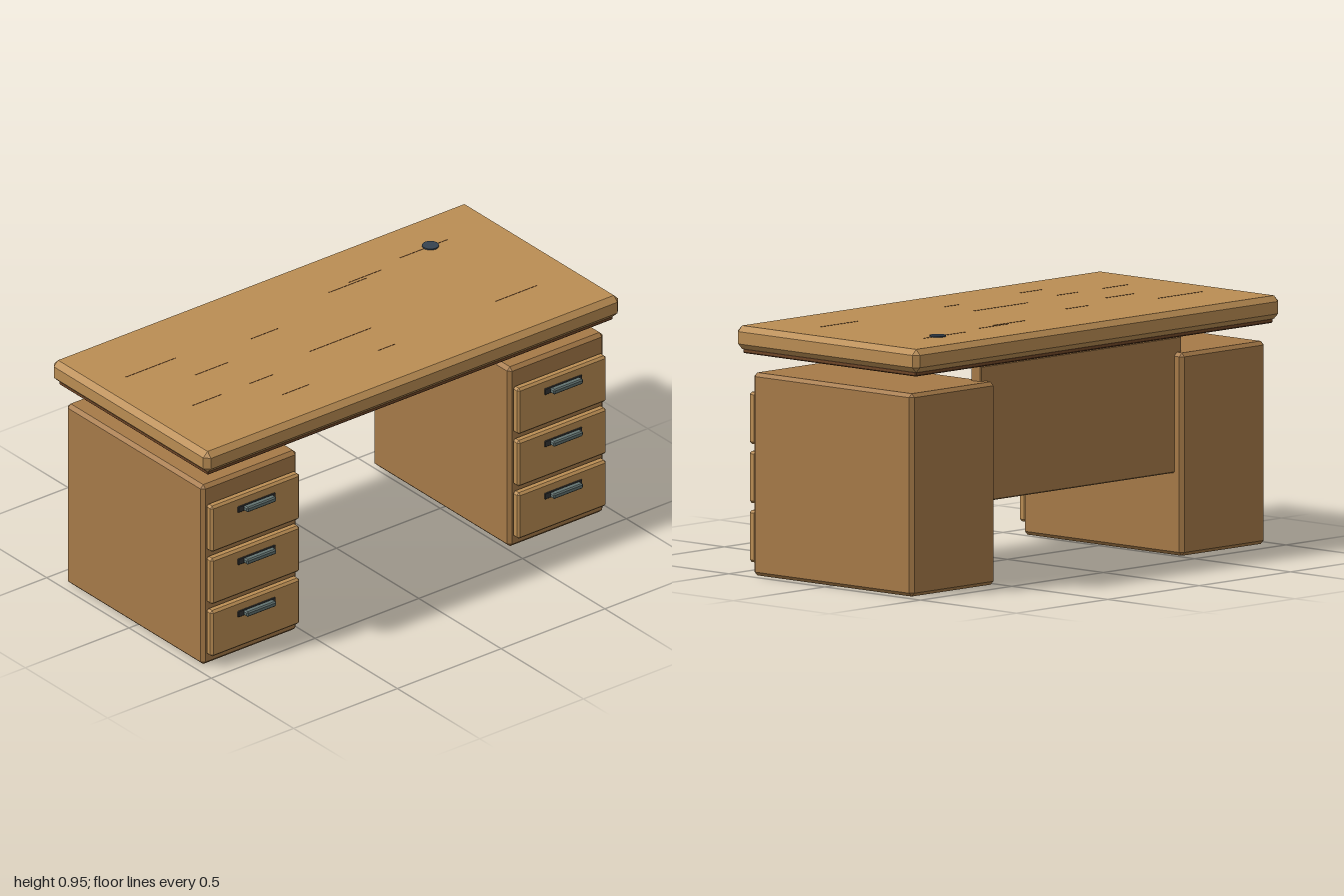
import * as THREE from 'three';
import { ConvexGeometry } from 'three/addons/geometries/ConvexGeometry.js';

const mat = (color) => new THREE.MeshStandardMaterial({ color, flatShading: true });
const topWood = mat(0xba8d53);
const bodyWood = mat(0xa67a48);
const darkWood = mat(0x6f4627);
const metal = mat(0x61716f);
const darkMetal = mat(0x343434);
const plastic = mat(0x36424f);

// Box with every edge cut at 45 degrees
function chamferBox(w, h, d, c) {
  const [x, y, z] = [w / 2, h / 2, d / 2];
  const points = [];
  for (const i of [-1, 1]) for (const j of [-1, 1]) for (const k of [-1, 1]) {
    points.push(
      new THREE.Vector3(i * x, j * (y - c), k * (z - c)),
      new THREE.Vector3(i * (x - c), j * y, k * (z - c)),
      new THREE.Vector3(i * (x - c), j * (y - c), k * z));
  }
  return new ConvexGeometry(points);
}

// Adds a chamfered block given its [min, max] range on each axis
function block(parent, name, material, [x0, x1], [y0, y1], [z0, z1], c) {
  const mesh = new THREE.Mesh(chamferBox(x1 - x0, y1 - y0, z1 - z0, c), material);
  mesh.name = name;
  mesh.position.set((x0 + x1) / 2, (y0 + y1) / 2, (z0 + z1) / 2);
  parent.add(mesh);
  return mesh;
}

// Drawer front with a backplate and a bar pull
function makeDrawer(y) {
  const drawer = new THREE.Group();
  drawer.name = 'drawer';
  drawer.position.y = y;
  block(drawer, 'drawerFront', topWood, [-0.214, 0.214], [-0.099, 0.099], [0.405, 0.443], 0.009);
  block(drawer, 'handlePlate', darkMetal, [-0.09, 0.09], [0.035, 0.061], [0.442, 0.449], 0.002);
  block(drawer, 'handleBar', metal, [-0.071, 0.071], [0.042, 0.064], [0.453, 0.48], 0.005);
  return drawer;
}

function makePedestal(side) {
  const pedestal = new THREE.Group();
  pedestal.name = side > 0 ? 'leftPedestal' : 'rightPedestal';
  pedestal.position.x = side * 0.739;
  block(pedestal, 'cabinet', bodyWood, [-0.23, 0.23], [0, 0.774], [-0.425, 0.408], 0.014);
  for (let i = 0; i < 3; i++) pedestal.add(makeDrawer(0.145 + i * 0.2255));
  return pedestal;
}

export function createModel() {
  const desk = new THREE.Group();
  desk.name = 'desk';

  // Worktop with a recessed slab below
  block(desk, 'worktop', topWood, [-1, 1], [0.861, 0.95], [-0.478, 0.472], 0.021);
  block(desk, 'underSlab', darkWood, [-0.977, 0.977], [0.845, 0.864], [-0.454, 0.449], 0.004);

  // Drawer pedestals and the panel between them
  for (const side of [-1, 1]) desk.add(makePedestal(side));
  block(desk, 'modestyPanel', bodyWood, [-0.55, 0.55], [0.315, 0.833], [-0.385, -0.334], 0.004);

  // Cable grommet
  const grommet = new THREE.Mesh(new THREE.CylinderGeometry(0.032, 0.032, 0.008, 20), plastic);
  grommet.name = 'cableGrommet';
  grommet.position.set(0.675, 0.951, -0.28);
  desk.add(grommet);

  // Fine grain lines on the worktop: x, z, length
  const grain = [
    [-0.74, -0.195, 0.24], [-0.565, -0.045, 0.16], [-0.24, -0.135, 0.13], [-0.045, 0.08, 0.3],
    [-0.73, 0.135, 0.14], [-0.47, 0.135, 0.11], [-0.42, 0.28, 0.13], [0.055, 0.235, 0.08],
    [0.24, -0.235, 0.18], [0.335, -0.25, 0.16], [0.7, 0.21, 0.2], [0.64, -0.28, 0.23],
  ];
  for (const [x, z, length] of grain) {
    const line = new THREE.Mesh(new THREE.BoxGeometry(length, 0.002, 0.003), darkWood);
    line.name = 'grainLine';
    line.position.set(x, 0.95, z);
    desk.add(line);
  }
  return desk;
}
